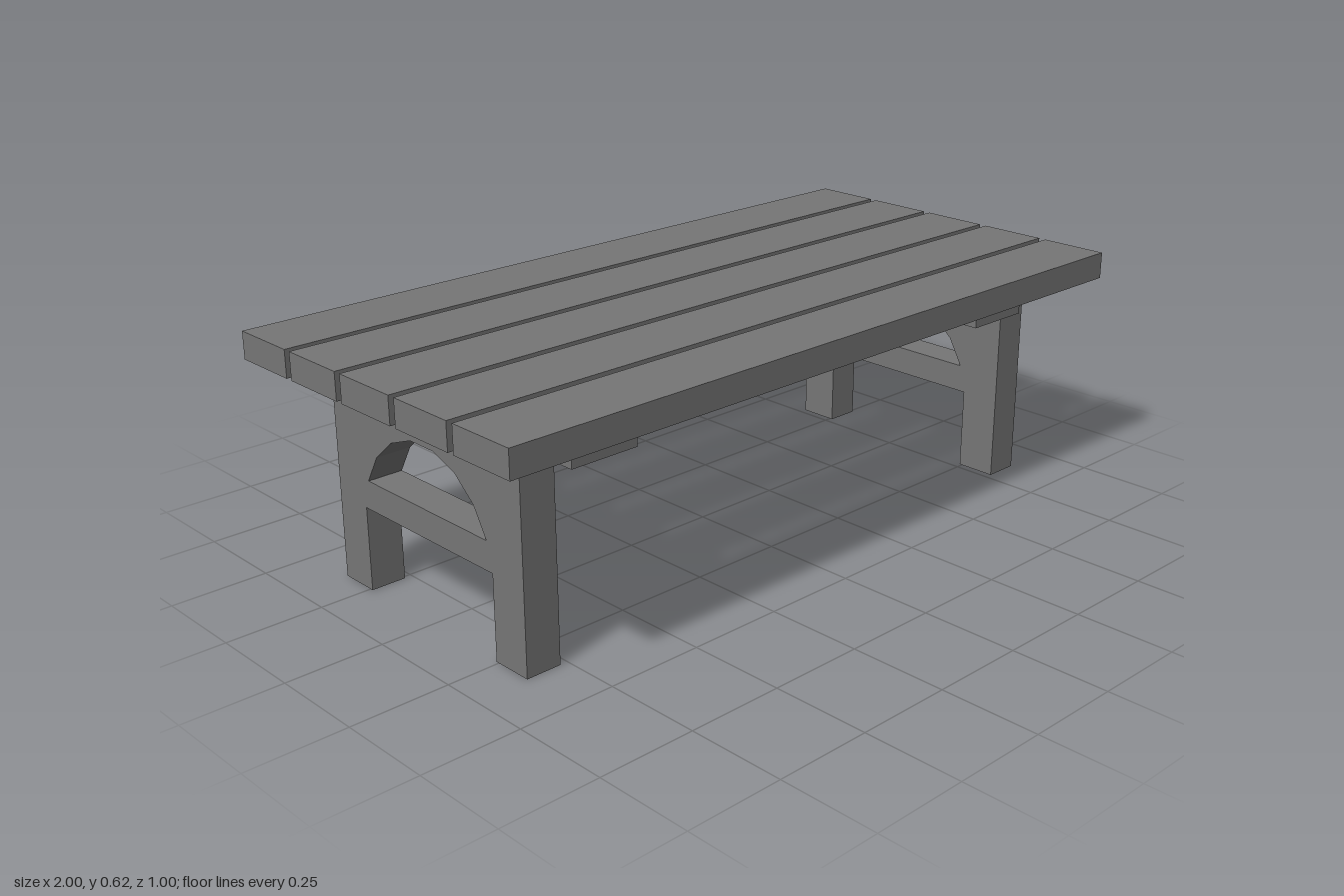
import * as THREE from 'three';

const material = new THREE.MeshStandardMaterial({ color: 0x767676, flatShading: true });

function box(name, w, h, d, x, y, z) {
  const mesh = new THREE.Mesh(new THREE.BoxGeometry(w, h, d), material);
  mesh.name = name;
  mesh.position.set(x, y, z);
  return mesh;
}

// Trestle outline with two legs, a crossbar and a faceted arch opening
function trestleGeometry(thickness) {
  const points = (list) => list.map(([x, y]) => new THREE.Vector2(x, y));
  const shape = new THREE.Shape(points([
    [-0.35, 0], [-0.242, 0], [-0.242, 0.216], [0.242, 0.216],
    [0.242, 0], [0.35, 0], [0.35, 0.553], [-0.35, 0.553],
  ]));
  const half = [[0.225, 0.289], [0.184, 0.36], [0.121, 0.414], [0.043, 0.443]];
  const mirrored = half.map(([x, y]) => [-x, y]).reverse();
  shape.holes.push(new THREE.Path(points([...half, ...mirrored])));
  const geometry = new THREE.ExtrudeGeometry(shape, { depth: thickness, bevelEnabled: false });
  geometry.translate(0, 0, -thickness / 2);
  geometry.rotateY(Math.PI / 2);
  return geometry;
}

export function createModel() {
  const model = new THREE.Group();
  model.name = 'slattedTable';

  // Five top planks with narrow gaps
  const top = new THREE.Group();
  top.name = 'tableTop';
  for (let i = -2; i <= 2; i++) {
    top.add(box('plank', 2, 0.07, 0.184, 0, 0.588, i * 0.2038));
  }
  model.add(top);

  // Trestle and the cleat on its inner face, at each end
  const trestle = trestleGeometry(0.093);
  for (const side of [-1, 1]) {
    const legs = new THREE.Mesh(trestle, material);
    legs.name = side > 0 ? 'leftTrestle' : 'rightTrestle';
    legs.position.x = side * 0.8165;
    model.add(legs);
    model.add(box(side > 0 ? 'leftCleat' : 'rightCleat', 0.184, 0.07, 0.816, side * 0.678, 0.518, 0));
  }
  return model;
}
